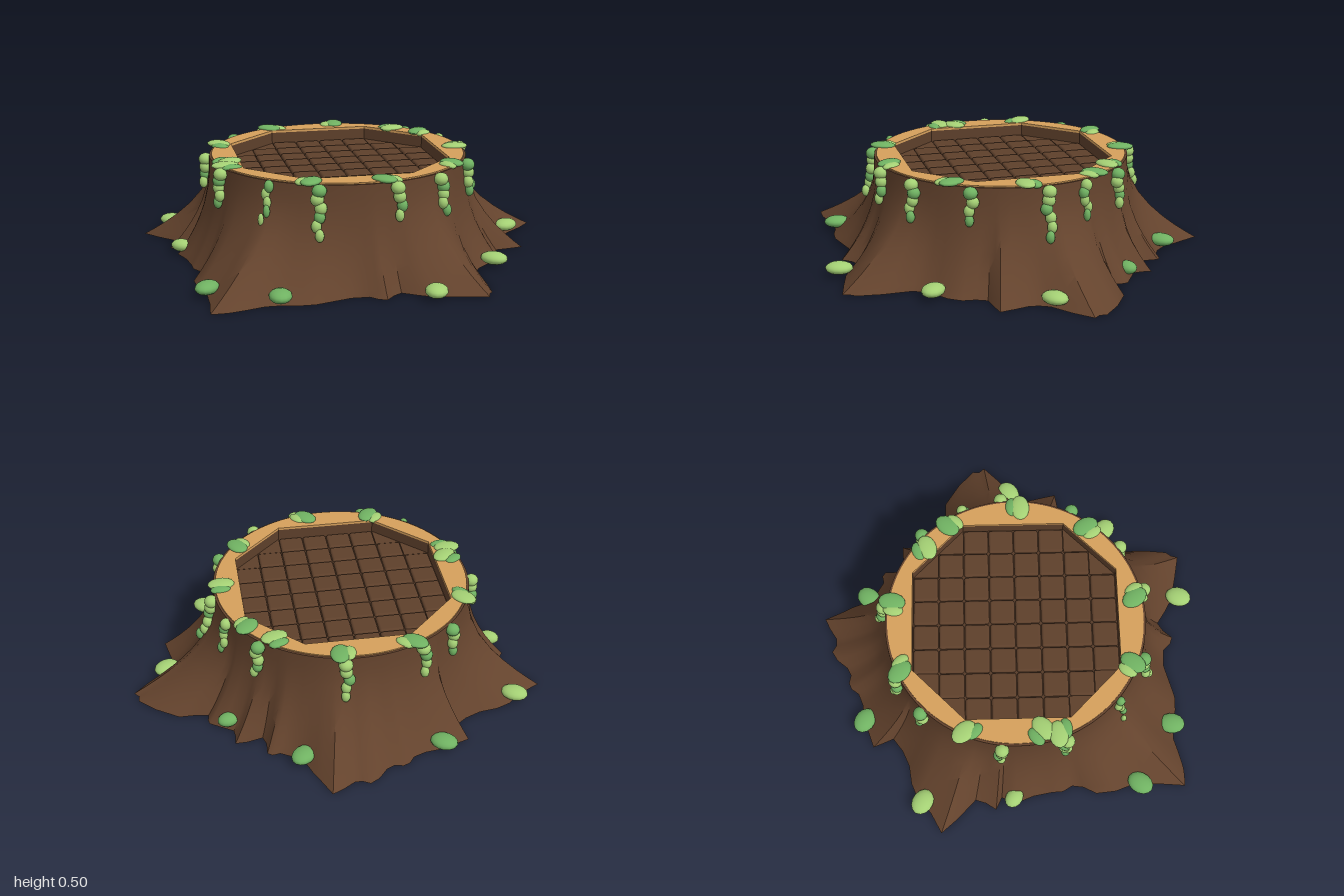
import * as THREE from 'three';
import { toCreasedNormals } from 'three/addons/utils/BufferGeometryUtils.js';
import { RoundedBoxGeometry } from 'three/addons/geometries/RoundedBoxGeometry.js';

const mat = (name, color, side = THREE.FrontSide) => {
  const m = new THREE.MeshStandardMaterial({ color, side });
  m.name = name;
  return m;
};

const CX = -0.065, CZ = 0.033;      // centre of the trunk
const TOP = 0.478, R_TOP = 0.626;   // bark rim
const HALF = 0.495, CELL = HALF / 4; // octagonal pit and its tile pitch
const FLOOR = 0.422;

// Root outline on the ground (x, z), clockwise from the back
const ROOTS = [
  0.13, -0.95, 0.17, -0.86, 0.22, -0.74, 0.33, -0.65, 0.39, -0.64, 0.40, -0.53, 0.53, -0.55, 0.53, -0.46,
  0.64, -0.39, 0.64, -0.33, 0.78, -0.32, 0.97, -0.17, 0.99, -0.11, 0.82, 0.04, 0.79, 0.13, 0.82, 0.27,
  0.68, 0.29, 0.65, 0.40, 0.55, 0.50, 0.48, 0.60, 0.47, 0.85, 0.44, 0.91, 0.20, 0.86, 0.07, 0.78,
  -0.01, 0.85, -0.08, 0.80, -0.25, 0.82, -0.40, 0.84, -0.55, 0.82, -0.70, 0.86, -0.79, 0.86, -0.78, 0.60,
  -0.82, 0.42, -0.78, 0.30, -0.81, 0.20, -0.86, 0.02, -0.83, -0.05, -0.89, -0.08, -0.84, -0.18, -1.0, -0.35,
  -0.82, -0.47, -0.66, -0.51, -0.52, -0.59, -0.56, -0.69, -0.40, -0.74, -0.28, -0.77, -0.22, -0.82,
  -0.14, -0.83, -0.05, -0.91, 0.02, -0.89,
];

// Polar outline, with a slightly frayed midpoint between each pair
const outline = [];
const count = ROOTS.length / 2;
for (let i = 0; i < count; i++) {
  const k = (i + 1) % count;
  for (const t of [0, 0.5]) {
    const x = THREE.MathUtils.lerp(ROOTS[2 * i], ROOTS[2 * k], t) - CX;
    const z = THREE.MathUtils.lerp(ROOTS[2 * i + 1], ROOTS[2 * k + 1], t) - CZ;
    outline.push({ a: Math.atan2(z, x), r: Math.hypot(x, z) + (t ? 0.014 * Math.sin(i * 2.7) : 0) });
  }
}

// Trunk radius at height y above a root of radius r
const flare = (r, y) => R_TOP + (r - R_TOP) * Math.pow(1 - y / TOP, 2.2);

function wallRadius(angle, y) {
  let best = outline[0], gap = 9;
  for (const p of outline) {
    const d = Math.abs(Math.atan2(Math.sin(p.a - angle), Math.cos(p.a - angle)));
    if (d < gap) { gap = d; best = p; }
  }
  return flare(best.r, y);
}

function barkGeometry() {
  const heights = [0, 0.03, 0.07, 0.12, 0.18, 0.25, 0.33, 0.41, TOP];
  const n = outline.length, pos = [], idx = [];
  const row = (y, radius) => outline.forEach((p) => {
    const r = radius(p);
    pos.push(CX + r * Math.cos(p.a), y, CZ + r * Math.sin(p.a));
  });
  heights.forEach((y) => row(y, (p) => flare(p.r, y)));
  row(TOP, () => 0.6); // lip tucked under the cut wood
  for (let j = 0; j < heights.length; j++) {
    for (let i = 0; i < n; i++) {
      const k = (i + 1) % n, a = j * n + i, b = j * n + k;
      idx.push(a, a + n, b, b, a + n, b + n);
    }
  }
  const g = new THREE.BufferGeometry();
  g.setAttribute('position', new THREE.Float32BufferAttribute(pos, 3));
  g.setIndex(idx);
  return toCreasedNormals(g, 0.7);
}

function octagon(s, Type = THREE.Shape) {
  const a = HALF * s, b = (HALF / 2) * s;
  const pts = [[a, -b], [a, b], [b, a], [-b, a], [-a, b], [-a, -b], [-b, -a], [b, -a]];
  return new Type(pts.map(([x, y]) => new THREE.Vector2(x, y)));
}

// Extrude a shape upwards from y0 to y1
function slab(shape, y0, y1) {
  const g = new THREE.ExtrudeGeometry(shape, { depth: y1 - y0, bevelEnabled: false, curveSegments: 64 });
  return g.rotateX(-Math.PI / 2).translate(CX, y0, CZ);
}

export function createModel() {
  const model = new THREE.Group();
  model.name = 'treeStump';
  const bark = mat('bark brown', 0x64432d, THREE.DoubleSide);
  const tileMat = mat('tile brown', 0x5e402b);
  const dark = mat('floor brown', 0x553a28);
  const tan = mat('cut wood tan', 0xd6a05c);
  const greens = [mat('moss green', 0x70b262), mat('light moss green', 0xa4d074)];

  const add = (name, geometry, material, parent = model) => {
    const m = new THREE.Mesh(geometry, material);
    m.name = name;
    parent.add(m);
    return m;
  };

  add('bark', barkGeometry(), bark);

  // Cut wood ring around the pit
  const ring = new THREE.Shape().absarc(0, 0, 0.615, 0, Math.PI * 2);
  ring.holes.push(octagon(1, THREE.Path));
  add('woodRim', toCreasedNormals(slab(ring, 0.472, 0.484), 0.5), tan);

  // Pit wall and floor
  const wall = octagon(1.02);
  wall.holes.push(octagon(1.001, THREE.Path));
  add('pitWall', slab(wall, 0.395, 0.473), tileMat);
  add('pitFloor', slab(octagon(1.01), 0.394, FLOOR - 0.014), dark);

  // Floor tiles, with half tiles along the slanted sides
  const tiles = new THREE.Group();
  tiles.name = 'floorTiles';
  model.add(tiles);
  const tileGeo = new RoundedBoxGeometry(CELL - 0.004, 0.026, CELL - 0.004, 2, 0.012);
  for (let i = 0; i < 8; i++) {
    for (let j = 0; j < 8; j++) {
      const x = (i - 3.5) * CELL, z = (j - 3.5) * CELL;
      if (Math.abs(x) + Math.abs(z) > 5.5 * CELL) continue;
      add('tile', tileGeo, tileMat, tiles).position.set(CX + x, FLOOR - 0.013, CZ + z);
    }
  }
  for (const sx of [-1, 1]) {
    for (const sz of [-1, 1]) {
      for (const [u, v] of [[2, 3], [3, 2]]) {
        const c = [[u, v], [u + 1, v], [u, v + 1]];
        const tri = new THREE.Shape(c.map(([x, y]) => new THREE.Vector2(sx * x * CELL, sz * y * CELL)));
        add('halfTile', slab(tri, FLOOR - 0.02, FLOOR - 0.006), tileMat, tiles);
      }
    }
  }

  // Moss: flattened blobs
  const blob = new THREE.SphereGeometry(1, 14, 10);
  const moss = (name, x, y, z, sx, sy, sz, turn, tone) => {
    const m = add(name, blob, greens[tone]);
    m.position.set(x, y, z);
    m.scale.set(sx, sy, sz);
    m.rotation.y = turn;
  };

  // Rim leaves (x, z, tone), each with a smaller partner
  const rimLeaves = [
    [0.035, -0.56, 0], [-0.32, -0.52, 0], [0.315, -0.39, 1], [0.43, -0.29, 0], [0.52, 0.07, 1], [0.41, 0.39, 0],
    [0.03, 0.61, 0], [-0.3, 0.585, 0], [-0.64, 0.22, 1], [-0.61, 0.15, 1], [-0.62, -0.22, 1],
  ];
  rimLeaves.forEach(([x, z, tone], i) => {
    const a = Math.atan2(z - CZ, x - CX), turn = -a + 0.5 * Math.sin(i * 2.3);
    moss('rimLeaf', x, 0.486, z, 0.066, 0.017, 0.046, turn, tone);
    const b = a + (i % 2 ? 0.07 : -0.07), r = 0.59;
    moss('smallRimLeaf', CX + r * Math.cos(b), 0.481, CZ + r * Math.sin(b), 0.05, 0.017, 0.032, turn, 1 - tone);
  });

  // Moss clumps on the roots
  const rootMoss = [
    [-0.85, -0.44, 1], [-0.43, -0.73, 0], [0.23, -0.72, 0], [0.55, -0.42, 0], [0.82, 0.02, 1], [0.59, 0.52, 1],
    [0.2, 0.89, 1], [-0.48, 0.81, 0], [-0.78, 0.635, 0], [-0.84, 0.01, 1],
  ];
  rootMoss.forEach(([x, z, tone], i) => {
    const a = Math.atan2(z - CZ, x - CX);
    const big = i === 3 || i === 9 ? 0.8 : 1;
    moss('rootMoss', x, 0.042, z, 0.066 * big, 0.03, 0.052 * big, -a + 0.6 * Math.sin(i * 1.9), tone);
  });

  // Hanging vines (x, z, lowest y, fullness): strings of blobs down the bark
  const vines = [
    [-0.28, 0.66, 0.26, 1], [0.09, 0.66, 0.33, 1], [0.33, 0.57, 0.31, 1], [0.52, 0.33, 0.33, 1],
    [0.6, -0.02, 0.26, 1], [0.53, -0.21, 0.32, 0.8], [0.4, -0.42, 0.32, 1], [0.01, -0.6, 0.3, 1],
    [-0.36, -0.53, 0.33, 1], [-0.53, -0.43, 0.34, 1], [-0.7, -0.05, 0.34, 1], [-0.66, 0.25, 0.32, 1],
    [-0.48, 0.51, 0.31, 0.65],
  ];
  vines.forEach(([x, z, low, full], v) => {
    const a = Math.atan2(z - CZ, x - CX);
    const n = Math.round((0.455 - low) / 0.036) + 1;
    for (let i = 0; i < n; i++) {
      const t = i / (n - 1), y = THREE.MathUtils.lerp(0.455, low, t);
      const w = THREE.MathUtils.lerp(0.034, 0.021, t) * full;
      const r = wallRadius(a, y) + 0.018 * full, b = a + 0.016 * Math.sin(i * 2 + v);
      moss('vineBlob', CX + r * Math.cos(b), y, CZ + r * Math.sin(b), w, 0.03, w, -a, (i + v) % 3 ? 1 : 0);
    }
  });

  return model;
}
